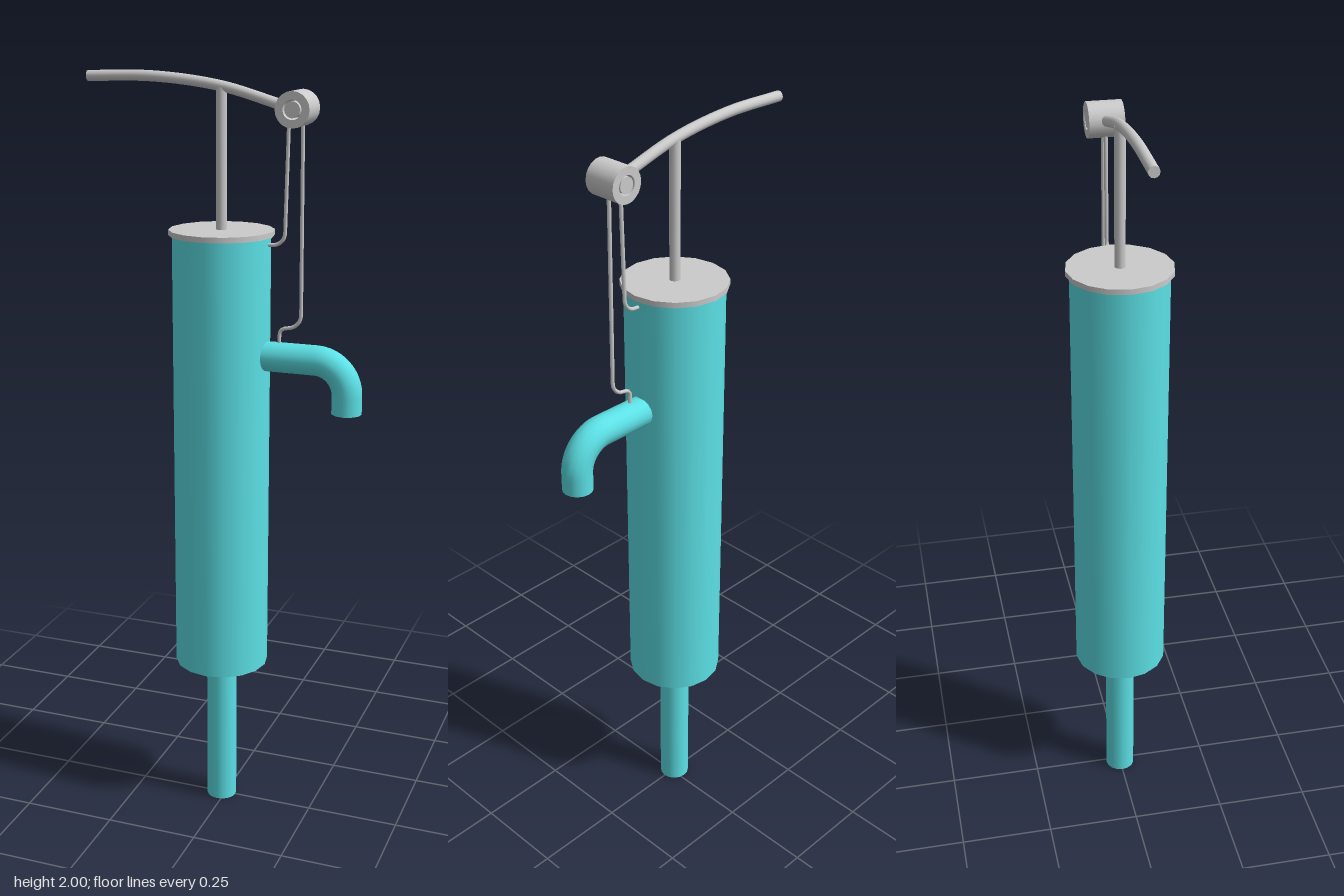
import * as THREE from 'three';

const teal = new THREE.MeshStandardMaterial({ color: 0x5ce1e6, side: THREE.DoubleSide });
const grey = new THREE.MeshStandardMaterial({ color: 0xcccccc, side: THREE.DoubleSide });
const AXIS = -0.011; // x of the pump barrel
const v = (x, y) => new THREE.Vector3(x, y, 0);

function mesh(name, geometry, material, x = 0, y = 0) {
  const m = new THREE.Mesh(geometry, material);
  m.name = name;
  m.position.set(x, y, 0);
  return m;
}

// Straight runs joined by rounded corners; each point is [x, y, cornerRadius]
function roundedPath(points) {
  const path = new THREE.CurvePath();
  let from = v(...points[0]);
  for (let i = 1; i < points.length; i++) {
    const corner = v(points[i][0], points[i][1]);
    const r = points[i][2] || 0;
    if (i === points.length - 1 || !r) {
      path.add(new THREE.LineCurve3(from, corner));
      from = corner;
      continue;
    }
    const next = v(points[i + 1][0], points[i + 1][1]);
    const k = r * 0.448; // handle length for a near-circular bend
    const back = from.clone().sub(corner).normalize();
    const ahead = next.sub(corner).normalize();
    const a = corner.clone().addScaledVector(back, r);
    const b = corner.clone().addScaledVector(ahead, r);
    path.add(new THREE.LineCurve3(from, a));
    path.add(new THREE.CubicBezierCurve3(a,
      corner.clone().addScaledVector(back, k),
      corner.clone().addScaledVector(ahead, k), b));
    from = b;
  }
  return path;
}

// Sharp-edged ring profile: repeated points keep the rims crisp
function hollowCylinder(outer, inner, y0, y1, sides) {
  const c = [[inner, y0], [outer, y0], [outer, y1], [inner, y1], [inner, y0]];
  const profile = [];
  for (let i = 0; i < 4; i++) {
    profile.push(new THREE.Vector2(...c[i]), new THREE.Vector2(...c[i + 1]));
  }
  return new THREE.LatheGeometry(profile, sides);
}

export function createModel() {
  const pump = new THREE.Group();
  pump.name = 'handPump';

  // Barrel, lid and hollow intake pipe
  pump.add(mesh('barrel', new THREE.CylinderGeometry(0.126, 0.126, 1.18, 16), teal, AXIS, 1.015));
  pump.add(mesh('lid', new THREE.CylinderGeometry(0.135, 0.135, 0.014, 16), grey, AXIS, 1.609));
  pump.add(mesh('intakePipe', hollowCylinder(0.041, 0.031, 0, 0.43, 16), teal, AXIS));

  // Spout: outer and inner walls with a rim at the mouth
  const spout = new THREE.Group();
  spout.name = 'spout';
  const spoutPath = roundedPath([[0.09, 1.297], [0.328, 1.297, 0.085], [0.328, 1.165]]);
  for (const [name, r] of [['spoutOuter', 0.039], ['spoutInner', 0.03]]) {
    spout.add(mesh(name, new THREE.TubeGeometry(spoutPath, 32, r, 16), teal));
  }
  const rim = mesh('spoutRim', new THREE.RingGeometry(0.03, 0.039, 16), teal, 0.328, 1.165);
  rim.rotation.x = Math.PI / 2;
  spout.add(rim);
  pump.add(spout);

  // Piston rod
  pump.add(mesh('pistonRod', new THREE.CylinderGeometry(0.014, 0.014, 0.355, 12), grey, AXIS, 1.787));

  // Curved handle with closed ends
  const handlePath = new THREE.CatmullRomCurve3(
    [v(-0.371, 1.985), v(-0.19, 1.987), v(-0.011, 1.967), v(0.153, 1.923)]);
  pump.add(mesh('handle', new THREE.TubeGeometry(handlePath, 20, 0.0135, 12), grey));
  for (const t of [0, 1]) {
    const p = handlePath.getPoint(t);
    const cap = mesh('handleEnd', new THREE.CircleGeometry(0.0135, 12), grey, p.x, p.y);
    cap.lookAt(p.clone().addScaledVector(handlePath.getTangent(t), t ? 1 : -1));
    pump.add(cap);
  }

  // Pivot: a sleeve around a slightly recessed pin, lying along z
  const pivot = new THREE.Group();
  pivot.name = 'pivot';
  pivot.position.set(0.185, 1.918, 0);
  pivot.rotation.x = Math.PI / 2;
  pivot.add(mesh('pivotSleeve', hollowCylinder(0.044, 0.024, -0.044, 0.044, 20), grey));
  pivot.add(mesh('pivotPin', new THREE.CylinderGeometry(0.02, 0.02, 0.086, 16), grey));
  pump.add(pivot);

  // Bent wire brackets from the pivot to the barrel top and the spout
  const wires = {
    barrelBracket: [[0.164, 1.885], [0.157, 1.585, 0.03], [0.105, 1.583]],
    spoutBracket: [[0.2, 1.885], [0.203, 1.38, 0.03], [0.146, 1.371, 0.014], [0.146, 1.325]],
  };
  for (const [name, points] of Object.entries(wires)) {
    pump.add(mesh(name, new THREE.TubeGeometry(roundedPath(points), 64, 0.005, 8), grey));
  }

  return pump;
}
